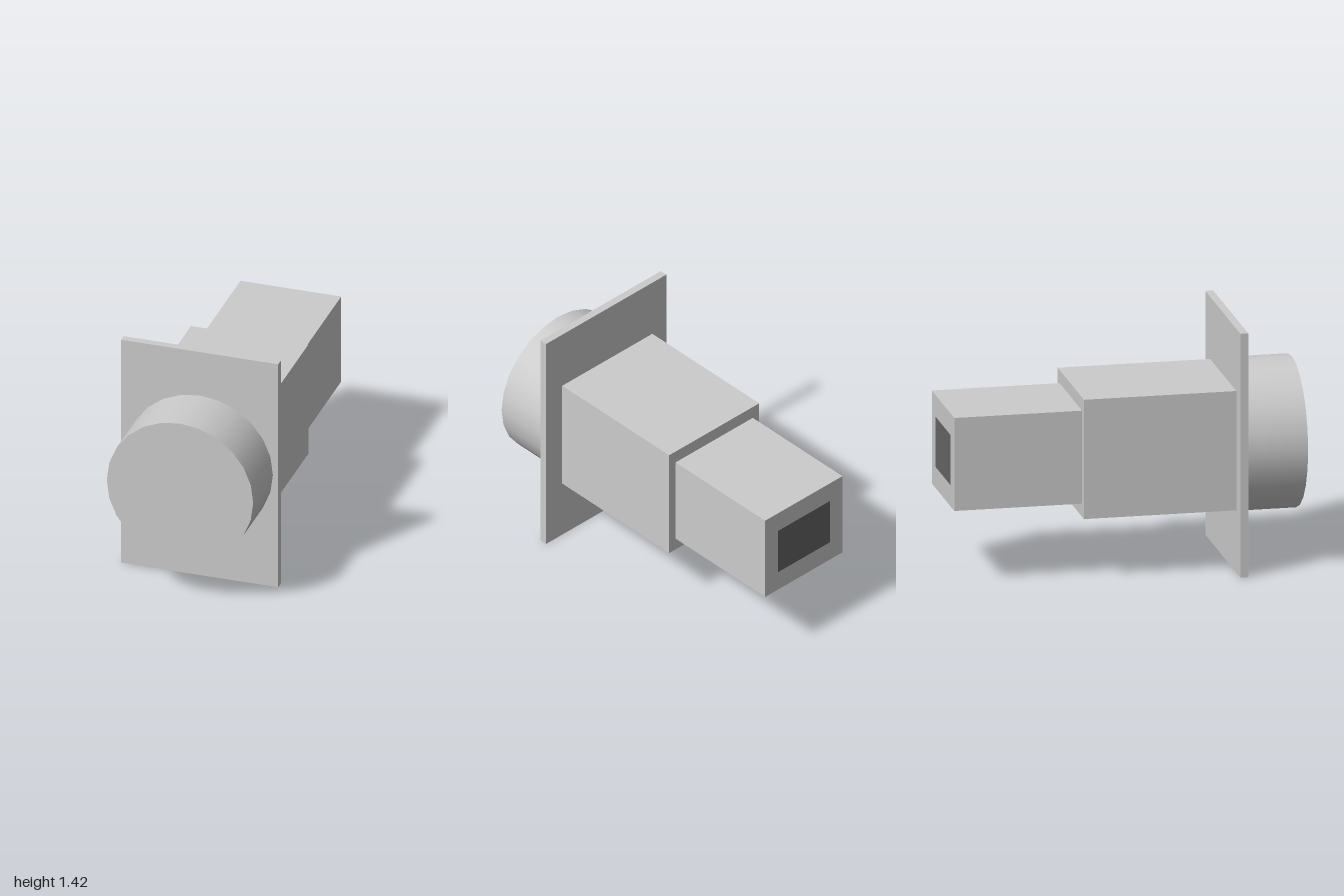
import * as THREE from 'three';

export function createModel() {
  const model = new THREE.Group();
  const grey = new THREE.MeshStandardMaterial({ color: 0xcccccc });
  const dark = new THREE.MeshStandardMaterial({ color: 0x666666 });
  const midY = 0.708;

  function add(name, geometry, x, y, z, material = grey) {
    const mesh = new THREE.Mesh(geometry, material);
    mesh.name = name;
    mesh.position.set(x, y, z);
    model.add(mesh);
    return mesh;
  }

  // Box given by width, height, centre x and its z range
  function block(name, width, height, x, zBack, zFront) {
    return add(name, new THREE.BoxGeometry(width, height, zFront - zBack), x, midY, (zBack + zFront) / 2);
  }

  // Round knob on the front, axis along z
  const knob = new THREE.CylinderGeometry(0.432, 0.432, 0.35, 24).rotateX(Math.PI / 2);
  add('frontKnob', knob, 0, midY, 0.825);

  // Upright plate and the stepped square body behind it
  block('mountingPlate', 0.927, 1.416, 0, 0.605, 0.65);
  block('mainBody', 0.693, 0.693, -0.009, -0.268, 0.605);
  block('rearBody', 0.594, 0.54, -0.009, -1, -0.268);

  // Dark flat panel on the rear end, facing backwards
  const panel = new THREE.PlaneGeometry(0.4, 0.292).rotateY(Math.PI);
  add('rearPanel', panel, -0.009, midY, -1.001, dark);

  return model;
}
